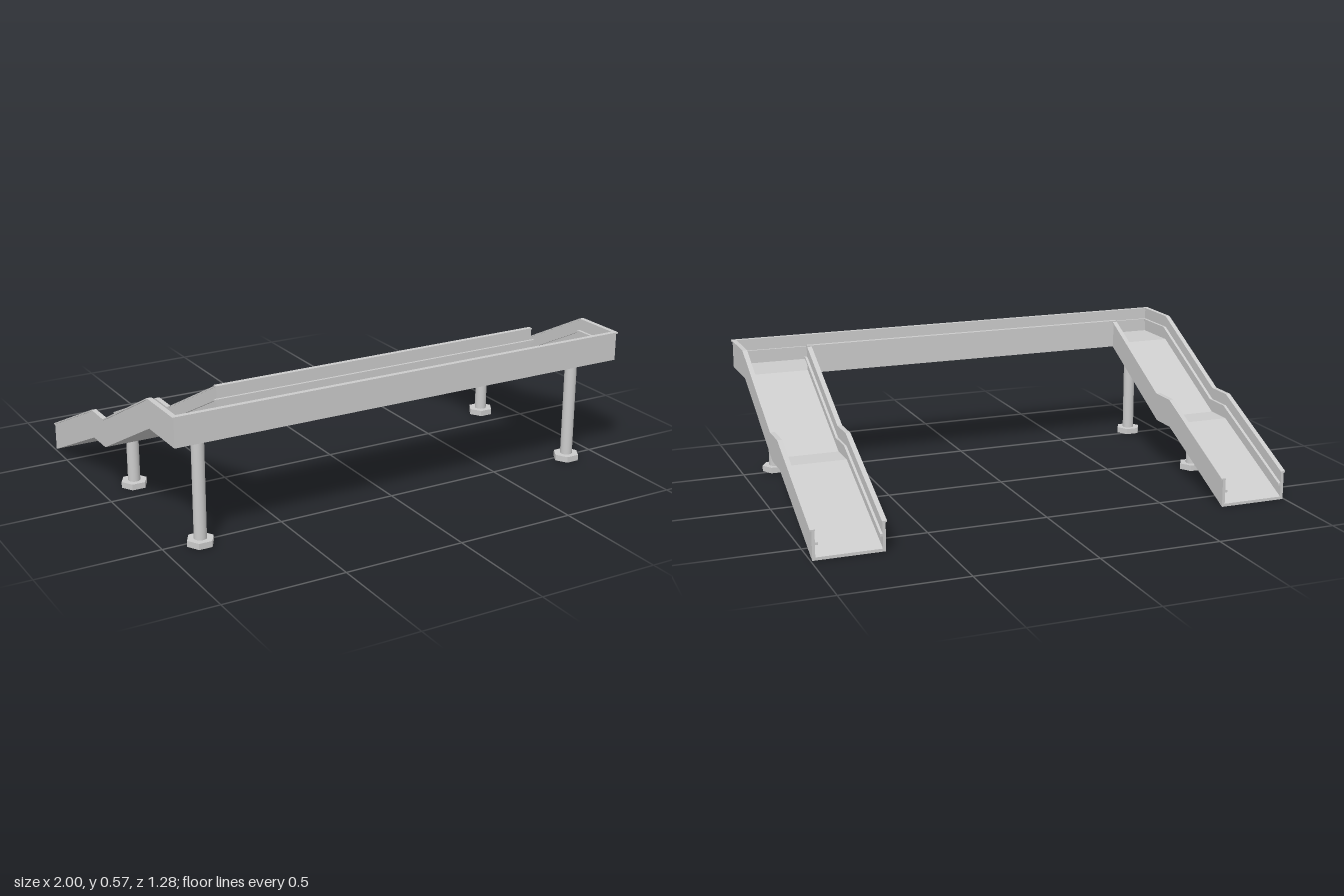
import * as THREE from 'three';

const material = new THREE.MeshStandardMaterial({ color: 0xcccccc, flatShading: true });
const smooth = new THREE.MeshStandardMaterial({ color: 0xcccccc });

// Underside of a ramp as [z, y]: upper level, slope, landing, slope
const RAMP = [[0.635, 0.45], [0.41, 0.45], [-0.05, 0.215], [-0.17, 0.215], [-0.64, 0]];
const WALL = 0.12;

function add(group, name, geometry, mat = material) {
  const mesh = new THREE.Mesh(geometry, mat);
  mesh.name = name;
  group.add(mesh);
}

// Band following the ramp between two heights above its underside, from x0 to x1
function band(group, name, path, side, x0, x1, low, high) {
  const lower = path.map(([z, y]) => new THREE.Vector2(z, y + low));
  const upper = path.map(([z, y]) => new THREE.Vector2(z, y + high)).reverse();
  const geometry = new THREE.ExtrudeGeometry(new THREE.Shape([...lower, ...upper]),
    { depth: x1 - x0, bevelEnabled: false });
  geometry.rotateY(-Math.PI / 2);
  geometry.translate(side > 0 ? x1 : -x0, 0, 0);
  add(group, name, geometry);
}

function box(group, name, x0, x1, y0, y1, z0, z1) {
  const geometry = new THREE.BoxGeometry(x1 - x0, y1 - y0, z1 - z0);
  geometry.translate((x0 + x1) / 2, (y0 + y1) / 2, (z0 + z1) / 2);
  add(group, name, geometry);
}

function ramp(side) {
  const group = new THREE.Group();
  group.name = side > 0 ? 'leftRamp' : 'rightRamp';
  const inner = RAMP.slice(1);
  band(group, 'rampDeck', RAMP, side, 0.715, 0.992, 0, 0.012);
  band(group, 'outerWall', RAMP, side, 0.982, 0.994, 0, WALL - 0.006);
  band(group, 'outerCap', RAMP, side, 0.98, 1, WALL - 0.006, WALL);
  band(group, 'outerHandrail', RAMP, side, 0.97, 0.982, 0.06, 0.07);
  band(group, 'innerWall', inner, side, 0.711, 0.723, 0, WALL - 0.006);
  band(group, 'innerCap', inner, side, 0.705, 0.725, WALL - 0.006, WALL);
  band(group, 'innerHandrail', inner, side, 0.723, 0.733, 0.06, 0.07);
  return group;
}

function span() {
  const group = new THREE.Group();
  group.name = 'span';
  const y = 0.45, top = y + WALL;
  box(group, 'spanDeck', -0.72, 0.72, y, y + 0.012, 0.405, 0.635);
  box(group, 'frontWall', -0.994, 0.994, y, top - 0.006, 0.623, 0.635);
  box(group, 'frontCap', -1, 1, top - 0.006, top, 0.62, 0.64);
  box(group, 'frontHandrail', -0.98, 0.98, y + 0.06, y + 0.07, 0.612, 0.623);
  box(group, 'backWall', -0.723, 0.723, y, top - 0.006, 0.405, 0.417);
  box(group, 'backCap', -0.725, 0.725, top - 0.006, top, 0.4, 0.42);
  box(group, 'backHandrail', -0.733, 0.733, y + 0.06, y + 0.07, 0.417, 0.427);
  return group;
}

// Round post standing in a hexagonal foot that is open underneath
function support(x, z, height) {
  const group = new THREE.Group();
  group.name = 'support';
  const post = new THREE.CylinderGeometry(0.025, 0.025, height - 0.012, 20);
  post.translate(0, (height + 0.012) / 2, 0);
  add(group, 'post', post, smooth);
  const ring = [[0.034, 0.012], [0.034, 0], [0.055, 0], [0.055, 0.025], [0.02, 0.025], [0.02, 0.012], [0.034, 0.012]];
  const foot = new THREE.LatheGeometry(ring.map(([r, y]) => new THREE.Vector2(r, y)), 6);
  foot.rotateY(Math.PI / 2);
  add(group, 'foot', foot);
  group.position.set(x, 0, z);
  return group;
}

export function createModel() {
  const model = new THREE.Group();
  model.name = 'footbridge';
  model.add(span());
  for (const side of [1, -1]) {
    model.add(ramp(side));
    model.add(support(side * 0.855, 0.525, 0.452));
    model.add(support(side * 0.855, -0.11, 0.217));
  }
  return model;
}
